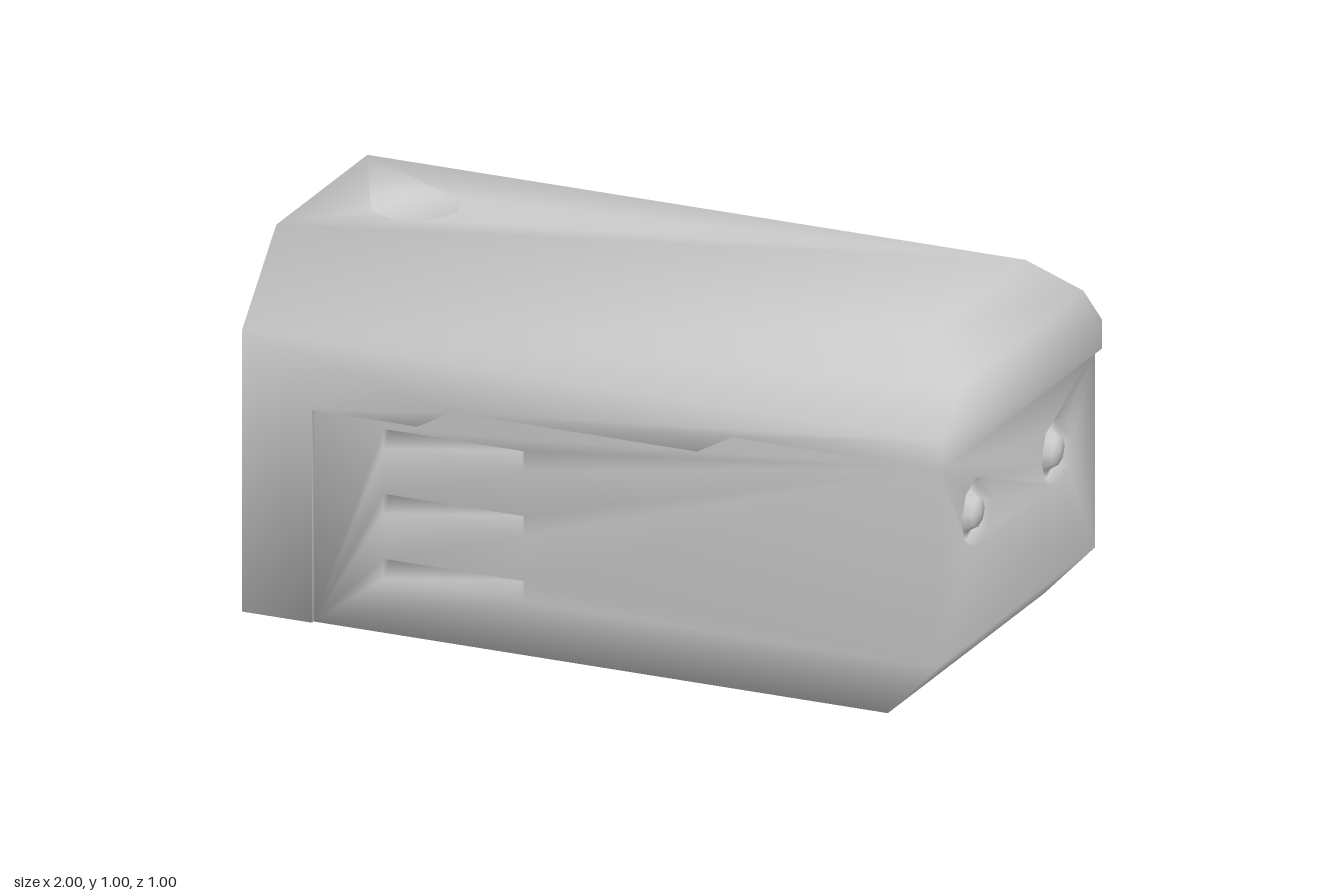
import * as THREE from 'three';
import { mergeVertices } from 'three/addons/utils/BufferGeometryUtils.js';

const V = (x, y, z) => new THREE.Vector3(x, y, z);

// Collects flat polygons and welds them into one softly shaded surface.
class Surface {
  constructor() { this.positions = []; }

  // Polygon (with optional holes) wound so that it faces the direction "out".
  poly(points, out, holes = []) {
    const n = out.clone().normalize();
    const u = V(n.y, n.z, n.x).cross(n);
    if (u.lengthSq() < 1e-6) u.set(1, 0, 0).cross(n);
    u.normalize();
    const v = n.clone().cross(u);
    const flat = (p) => new THREE.Vector2(p.dot(u), p.dot(v));
    const all = [points, ...holes].flat();
    const faces = THREE.ShapeUtils.triangulateShape(points.map(flat), holes.map((h) => h.map(flat)));
    for (const [a, b, c] of faces) {
      const A = all[a], B = all[b], C = all[c];
      const facing = B.clone().sub(A).cross(C.clone().sub(A)).dot(n);
      for (const p of facing >= 0 ? [A, B, C] : [A, C, B]) this.positions.push(p.x, p.y, p.z);
    }
  }

  // Concentric rings joined by bands and closed with a cap.
  rings(loops, out, center) {
    for (let k = 0; k + 1 < loops.length; k++) {
      const a = loops[k], b = loops[k + 1];
      for (let i = 0; i < a.length; i++) {
        const j = (i + 1) % a.length;
        // winding follows the loops, which run anticlockwise seen from outside
        for (const p of [a[i], a[j], b[j], a[i], b[j], b[i]]) this.positions.push(p.x, p.y, p.z);
      }
    }
    const last = loops[loops.length - 1];
    last.forEach((p, i) => this.poly([p, last[(i + 1) % last.length], center], out));
  }

  mesh(name, material) {
    let g = new THREE.BufferGeometry();
    g.setAttribute('position', new THREE.Float32BufferAttribute(this.positions, 3));
    g = mergeVertices(g, 1e-4);
    g.computeVertexNormals();
    const m = new THREE.Mesh(g, material);
    m.name = name;
    return m;
  }
}

// Octagon whose corners lie on the axes, placed by a mapping (a, b) -> point.
const octagon = (r, place) => Array.from({ length: 8 }, (_, i) =>
  place(r * Math.cos(i * Math.PI / 4), r * Math.sin(i * Math.PI / 4)));

const UP = V(0, 1, 0), DOWN = V(0, -1, 0), FRONT = V(1, 0, 0), BACK = V(-1, 0, 0);
const HOOD_Z = 0.5, BODY_Z = 0.49, NOSE_X = 0.985;

function buildHood(material) {
  const s = new Surface();
  // stepped lower edge, from the rear foot to the nose
  const edge = [[-1, 0], [-0.8, 0], [-0.8, 0.59], [-0.5, 0.59], [-0.4, 0.645], [0.3, 0.645], [0.4, 0.7], [1, 0.7]];

  // flat roof with a shallow round well
  const well = (r, y) => octagon(r, (a, b) => V(-0.735 + a, y, -b));
  const rim = well(0.125, 1);
  s.poly([V(-1, 1, 0.285), V(0.88, 1, 0.285), V(0.88, 1, -0.285), V(-1, 1, -0.285)], UP, [rim]);
  s.rings([rim, well(0.118, 0.97)], UP, V(-0.735, 0.97, 0));

  for (const m of [1, -1]) {
    // sloped shoulder
    s.poly([V(-1, 1, 0.285 * m), V(0.88, 1, 0.285 * m), V(1, 0.9, 0.383 * m), V(1, 0.78, HOOD_Z * m),
      V(-1, 0.78, HOOD_Z * m)], V(0, 1, m));
    // side skirt
    s.poly([...edge.map(([x, y]) => V(x, y, HOOD_Z * m)), V(1, 0.78, HOOD_Z * m), V(-1, 0.78, HOOD_Z * m)], V(0, 0, m));
    // thin lip under the skirt
    for (let i = 1; i + 1 < edge.length; i++) {
      const [x0, y0] = edge[i], [x1, y1] = edge[i + 1];
      s.poly([V(x0, y0, HOOD_Z * m), V(x1, y1, HOOD_Z * m), V(x1, y1, BODY_Z * m), V(x0, y0, BODY_Z * m)],
        V(y1 - y0, x0 - x1, 0));
    }
  }
  // nose: chamfer, face and underside
  s.poly([V(0.88, 1, 0.285), V(1, 0.9, 0.383), V(1, 0.9, -0.383), V(0.88, 1, -0.285)], V(1, 1, 0));
  s.poly([V(1, 0.7, 0.5), V(1, 0.78, 0.5), V(1, 0.9, 0.383), V(1, 0.9, -0.383), V(1, 0.78, -0.5), V(1, 0.7, -0.5)], FRONT);
  s.poly([V(1, 0.7, BODY_Z), V(NOSE_X, 0.7, BODY_Z), V(NOSE_X, 0.7, -BODY_Z), V(1, 0.7, -BODY_Z)], DOWN);
  // rear wall and its foot
  s.poly([V(-1, 0, 0.5), V(-1, 0.78, 0.5), V(-1, 1, 0.285), V(-1, 1, -0.285), V(-1, 0.78, -0.5), V(-1, 0, -0.5)], BACK);
  s.poly([V(-1, 0, 0.5), V(-0.8, 0, 0.5), V(-0.8, 0, -0.5), V(-1, 0, -0.5)], DOWN);
  return s.mesh('hood', material);
}

function buildBody(material) {
  const s = new Surface();
  const lampHoles = [];

  for (const m of [1, -1]) {
    // round lamp: recessed ring with a bulging centre
    const ring = (r, d) => octagon(r, (a, b) => V(NOSE_X + d, 0.5 + a, 0.25 * m + b));
    const loops = [[0.098, 0], [0.082, -0.03], [0.058, -0.025], [0.04, 0.004]].map(([r, d]) => ring(r, d));
    s.rings(loops, FRONT, V(NOSE_X + 0.01, 0.5, 0.25 * m));
    lampHoles.push(loops[0]);

    // side panel with three louvre slots
    const slots = [];
    for (const y of [0.15, 0.33, 0.51]) {
      const [x0, x1, top, mid, deep] = [-0.6, -0.2, y + 0.055, y + 0.042, 0.45 * m];
      const z = BODY_Z * m;
      slots.push([V(x0, y, z), V(x1, y, z), V(x1, top, z), V(x0, top, z)]);
      s.poly([V(x0, top, z), V(x1, top, z), V(x1, mid, deep), V(x0, mid, deep)], V(0, -1, m * 0.3));
      s.poly([V(x0, y, z), V(x1, y, z), V(x1, mid, deep), V(x0, mid, deep)], V(0, 1, m));
      s.poly([V(x0, y, z), V(x0, top, z), V(x0, mid, deep)], FRONT);
      s.poly([V(x1, y, z), V(x1, top, z), V(x1, mid, deep)], BACK);
    }
    const outline = [[-0.8, 0], [0.84, 0], [NOSE_X, 0.15], [NOSE_X, 0.7], [-0.8, 0.7]];
    s.poly(outline.map(([x, y]) => V(x, y, BODY_Z * m)), V(0, 0, m), slots);
  }

  // strip across the full width between two (x, y) points
  const across = (x0, y0, x1, y1, out, holes) =>
    s.poly([V(x0, y0, BODY_Z), V(x1, y1, BODY_Z), V(x1, y1, -BODY_Z), V(x0, y0, -BODY_Z)], out, holes);
  across(NOSE_X, 0.15, NOSE_X, 0.7, FRONT, lampHoles);
  across(0.84, 0, NOSE_X, 0.15, V(1, -1, 0));
  across(-0.8, 0, 0.84, 0, DOWN);
  return s.mesh('body', material);
}

export function createModel() {
  const material = new THREE.MeshStandardMaterial({ color: 0xcccccc });
  const group = new THREE.Group();
  group.name = 'engineCover';
  group.add(buildHood(material), buildBody(material));
  return group;
}
